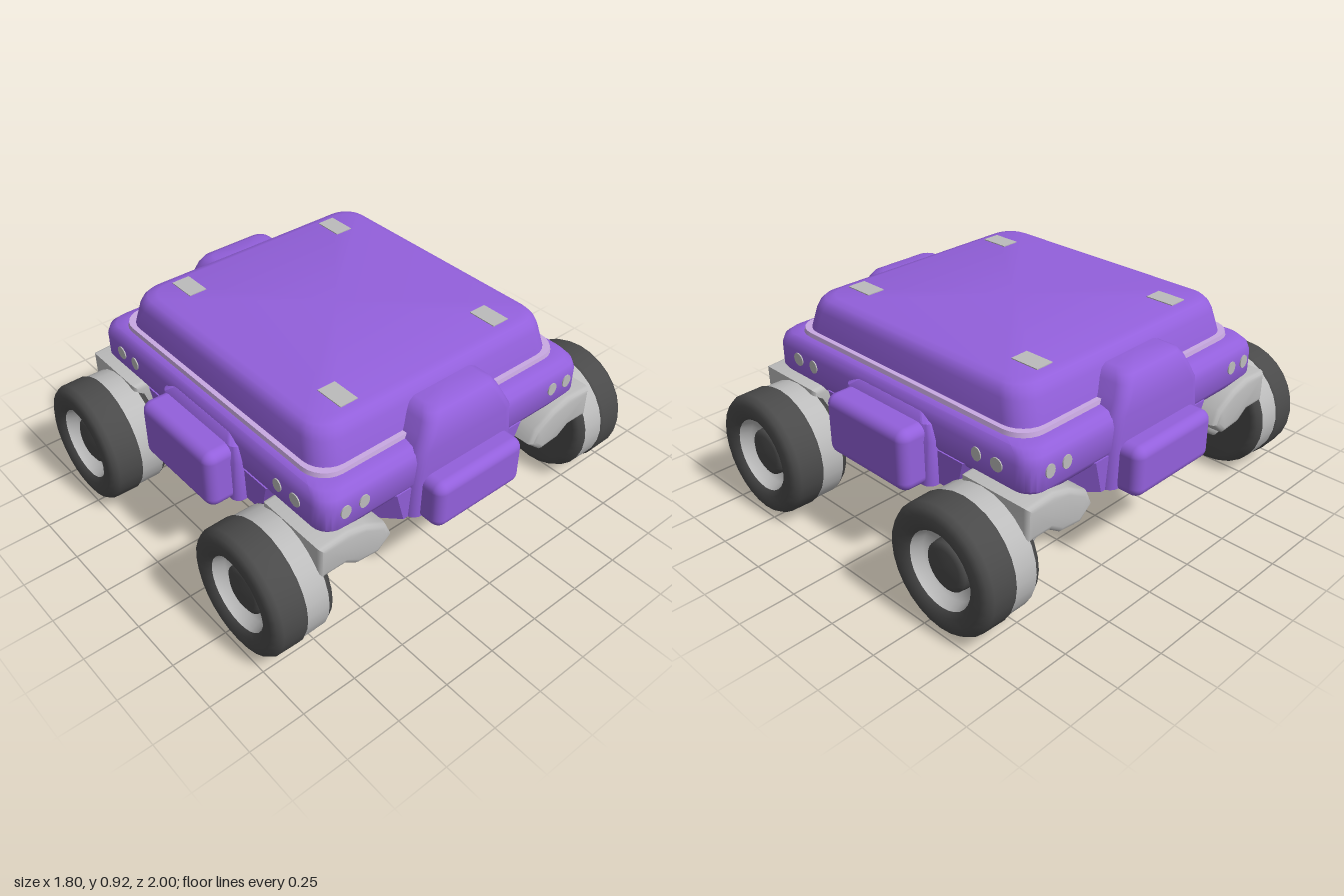
import * as THREE from 'three';
import { toCreasedNormals } from 'three/addons/utils/BufferGeometryUtils.js';
import { RoundedBoxGeometry } from 'three/addons/geometries/RoundedBoxGeometry.js';

const mat = (name, color) => Object.assign(new THREE.MeshStandardMaterial({ color }), { name });

// Rounded-rectangle outline in the ground plane, n segments per corner
function outline(hx, hz, r, n) {
  const pts = [];
  const signs = [[1, 1], [-1, 1], [-1, -1], [1, -1]];
  signs.forEach(([sx, sz], q) => {
    for (let i = 0; i <= n; i++) {
      const a = (q + i / n) * Math.PI / 2;
      pts.push([sx * (hx - r) + r * Math.cos(a), sz * (hz - r) + r * Math.sin(a)]);
    }
  });
  return pts;
}

// Capped loft through sections [y, halfX, halfZ, cornerRadius], bottom to top
function loft(sections, n = 6, crease = 0.7) {
  const pos = [], idx = [], count = 4 * (n + 1);
  for (const [y, hx, hz, r] of sections)
    for (const [x, z] of outline(hx, hz, r, n)) pos.push(x, y, z);
  const last = sections.length - 1;
  pos.push(0, sections[0][0], 0, 0, sections[last][0], 0);
  const low = count * sections.length, high = low + 1;
  for (let i = 0; i < count; i++) {
    const j = (i + 1) % count;
    for (let s = 0; s < last; s++) {
      const a = s * count + i, b = s * count + j;
      idx.push(a, a + count, b, b, a + count, b + count);
    }
    idx.push(low, i, j, high, last * count + j, last * count + i);
  }
  const g = new THREE.BufferGeometry();
  g.setAttribute('position', new THREE.Float32BufferAttribute(pos, 3));
  g.setIndex(idx);
  return toCreasedNormals(g, crease);
}

export function createModel() {
  const purple = mat('purple body', 0x9360dc);
  const lavender = mat('lavender trim', 0xc9a9e2);
  const grey = mat('light grey', 0xbcbcbc);
  const dark = mat('dark rubber', 0x4a4a4a);

  const model = new THREE.Group();
  model.name = 'rover';
  const add = (parent, name, geometry, material, x = 0, y = 0, z = 0) => {
    const m = new THREE.Mesh(geometry, material);
    m.name = name;
    m.position.set(x, y, z);
    parent.add(m);
    return m;
  };

  // Body: chamfered belly, wide slab, raised deck
  add(model, 'belly', loft([
    [0.38, 0.74, 0.67, 0.39], [0.40, 0.77, 0.70, 0.40], [0.56, 0.78, 0.71, 0.36],
  ], 1, 0.4), purple);
  add(model, 'slab', loft([
    [0.53, 0.73, 0.66, 0.08], [0.545, 0.765, 0.695, 0.08], [0.58, 0.785, 0.715, 0.08],
    [0.68, 0.785, 0.715, 0.08], [0.715, 0.775, 0.705, 0.08], [0.737, 0.75, 0.69, 0.09], [0.745, 0.71, 0.665, 0.1],
  ]), purple);
  add(model, 'trimLine', loft([[0.735, 0.703, 0.668, 0.11], [0.764, 0.698, 0.662, 0.11]]), lavender);
  add(model, 'deck', loft([
    [0.74, 0.682, 0.645, 0.11], [0.78, 0.672, 0.637, 0.11], [0.86, 0.648, 0.625, 0.11],
    [0.89, 0.635, 0.615, 0.11], [0.91, 0.615, 0.597, 0.1], [0.92, 0.58, 0.565, 0.09],
  ]), purple);

  // Side bulges and bumper boxes
  const bulge = loft([
    [0.40, 0.14, 0.28, 0.05], [0.56, 0.145, 0.28, 0.05], [0.72, 0.145, 0.26, 0.05], [0.78, 0.14, 0.225, 0.05],
    [0.83, 0.125, 0.2, 0.05], [0.86, 0.105, 0.18, 0.05], [0.873, 0.075, 0.15, 0.05],
  ]);
  const sideBox = new RoundedBoxGeometry(0.2, 0.225, 0.48, 4, 0.045);
  const endBox = new RoundedBoxGeometry(0.49, 0.275, 0.22, 4, 0.045);
  const endNeck = loft([
    [0.395, 0.27, 0.09, 0.04], [0.6, 0.28, 0.09, 0.04], [0.67, 0.26, 0.08, 0.04], [0.7, 0.22, 0.05, 0.04],
  ]);
  for (const s of [1, -1]) {
    add(model, 'sideBulge', bulge, purple, s * 0.662);
    add(model, 'sideBumper', sideBox, purple, s * 0.802, 0.495, 0);
    add(model, 'endBumper', endBox, purple, 0, 0.533, s * 0.748);
    add(model, 'endBumperNeck', endNeck, purple, 0, 0, s * 0.66);
  }

  // Wheel, turned about the z axis
  const turned = (points) =>
    new THREE.LatheGeometry(points.map(([r, z]) => new THREE.Vector2(r, z)), 28).rotateX(Math.PI / 2);
  const wheelParts = [
    ['tireInner', dark, [[0, 0.71], [0.225, 0.71], [0.255, 0.718], [0.27, 0.745]]],
    ['tireBand', grey, [[0.27, 0.745], [0.271, 0.85]]],
    ['tireOuter', dark, [[0.271, 0.85], [0.278, 0.862], [0.276, 0.965], [0.262, 0.988], [0.235, 1], [0.19, 0.998], [0.166, 0.98]]],
    ['rim', grey, [[0.166, 0.98], [0.15, 0.93], [0.108, 0.91]]],
    ['hub', dark, [[0.108, 0.91], [0.104, 0.945], [0.08, 0.958], [0, 0.962]]],
  ].map(([name, m, pts]) => [name, m, turned(pts)]);

  // Suspension bracket: side outline in (z, y), extruded across x
  const extrudeAcross = (points, width) => {
    const bevel = 0.025;
    const g = new THREE.ExtrudeGeometry(new THREE.Shape(points.map(([z, y]) => new THREE.Vector2(z, y))), {
      depth: width - 2 * bevel, bevelSize: bevel, bevelThickness: bevel, bevelOffset: -bevel, bevelSegments: 3,
    });
    g.translate(0, 0, bevel - width / 2).rotateY(-Math.PI / 2);
    return toCreasedNormals(g, 0.8);
  };
  const bracket = extrudeAcross([
    [0.40, 0.42], [0.43, 0.49], [0.53, 0.545], [0.62, 0.57], [0.76, 0.56], [0.76, 0.41],
    [0.64, 0.41], [0.58, 0.37], [0.47, 0.36],
  ], 0.36);
  const strut = extrudeAcross([
    [0.45, 0.42], [0.6, 0.42], [0.7, 0.37], [0.71, 0.24], [0.63, 0.22], [0.57, 0.26], [0.5, 0.33],
  ], 0.17);
  const axle = new THREE.CylinderGeometry(0.08, 0.08, 0.14, 20).rotateX(Math.PI / 2);

  for (const sx of [1, -1]) for (const sz of [1, -1]) {
    const corner = new THREE.Group();
    corner.name = (sz > 0 ? 'front' : 'back') + (sx > 0 ? 'Left' : 'Right') + 'Wheel';
    corner.position.x = sx * 0.577;
    corner.rotation.y = sz > 0 ? 0 : Math.PI;
    const out = sx * sz;
    for (const [name, m, g] of wheelParts) add(corner, name, g, m, 0, 0.286, 0);
    add(corner, 'bracket', bracket, grey, out * 0.06, 0, 0);
    add(corner, 'strut', strut, grey, out * 0.02, 0, 0);
    add(corner, 'axle', axle, grey, 0, 0.3, 0.66);
    model.add(corner);
  }

  // Deck pads and small round lights
  const pad = new THREE.BoxGeometry(0.135, 0.006, 0.085);
  const lightZ = new THREE.CylinderGeometry(1, 1, 0.008, 14).rotateX(Math.PI / 2);
  const lightX = new THREE.CylinderGeometry(1, 1, 0.008, 14).rotateZ(Math.PI / 2);
  for (const sx of [1, -1]) for (const sz of [1, -1]) {
    add(model, 'deckPad', pad, grey, sx * 0.498, 0.921, sz * 0.412);
    for (const [x, r] of [[0.505, 0.025], [0.612, 0.031]])
      add(model, 'endLight', lightZ, grey, sx * x, 0.645, sz * 0.716).scale.set(r, 0.03, 1);
    for (const [z, r] of [[0.525, 0.025], [0.615, 0.025]])
      add(model, 'sideLight', lightX, grey, sx * 0.786, 0.65, sz * z).scale.set(1, 0.03, r);
  }
  return model;
}
